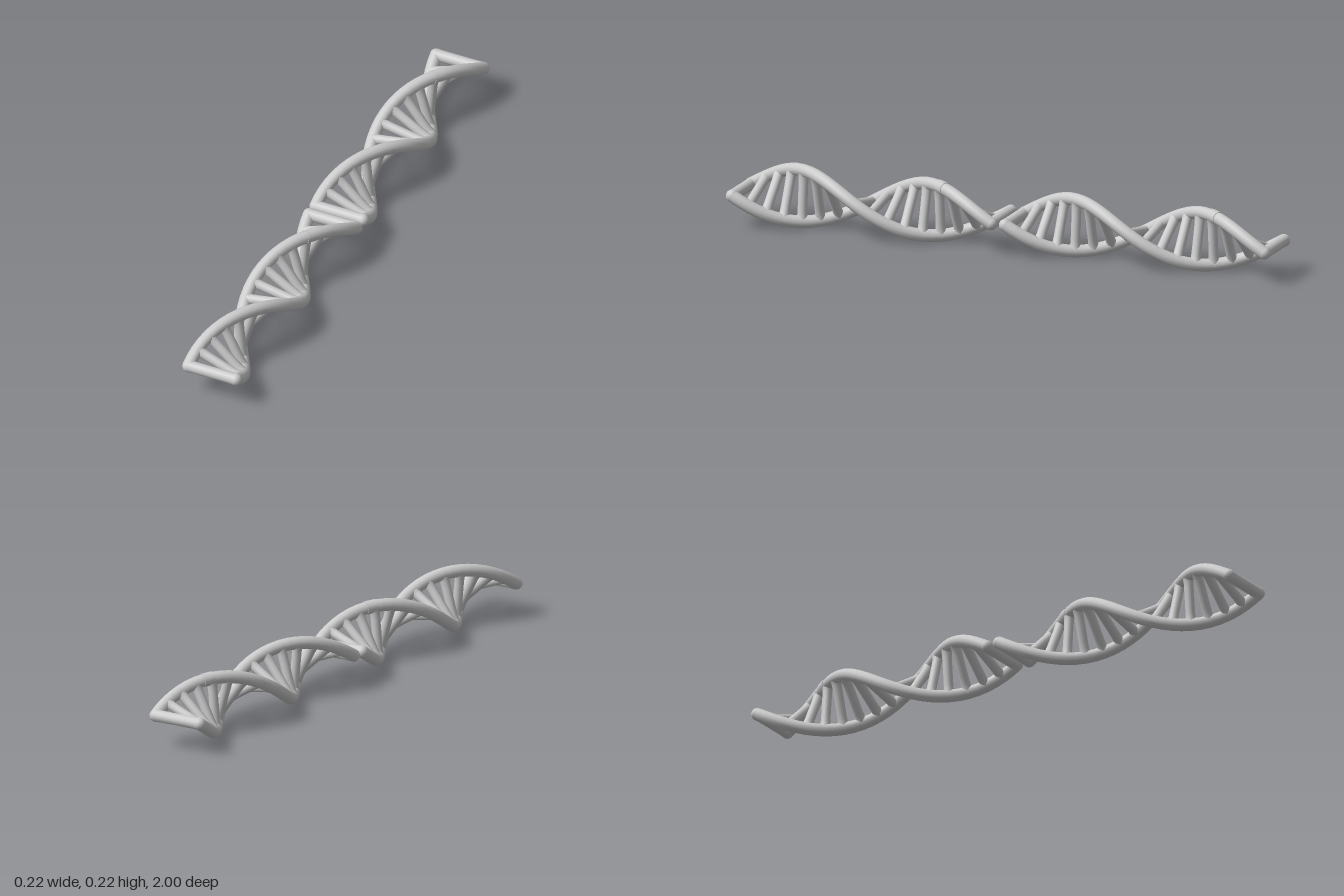
import * as THREE from 'three';

const RADIUS = 0.089;     // axis to strand centre
const STRAND = 0.022;     // strand thickness radius
const LENGTH = 0.952;     // one full turn
const RUNGS = 17;
const CENTRE_Y = 0.1125;

const material = new THREE.MeshStandardMaterial({ color: 0xcccccc });

// Right-handed spiral making one turn along z
class Spiral extends THREE.Curve {
  constructor(phase) {
    super();
    this.phase = phase;
  }
  getPoint(t, target = new THREE.Vector3()) {
    const a = this.phase + t * Math.PI * 2;
    return target.set(RADIUS * Math.cos(a), RADIUS * Math.sin(a), (t - 0.5) * LENGTH);
  }
}

function addMesh(parent, name, geometry) {
  const mesh = new THREE.Mesh(geometry, material);
  mesh.name = name;
  parent.add(mesh);
  return mesh;
}

// Round bar along y that flares softly where it meets the strands
function flaredBar(r, flare) {
  const profile = [];
  for (let i = 0; i <= 12; i++) {
    const s = i / 6 - 1;
    profile.push(new THREE.Vector2(r + flare * s ** 6, s * RADIUS));
  }
  return new THREE.LatheGeometry(profile, 14);
}

function createTurn(name) {
  const turn = new THREE.Group();
  turn.name = name;
  const strands = [new Spiral(0), new Spiral(Math.PI)];

  // Two backbone strands with rounded ends
  strands.forEach((curve, i) => {
    addMesh(turn, `strand${i + 1}`, new THREE.TubeGeometry(curve, RUNGS * 2, STRAND, 12));
    for (const t of [0, 1]) {
      addMesh(turn, `strandEnd${i + 1}`, new THREE.SphereGeometry(STRAND, 14, 10))
        .position.copy(curve.getPoint(t));
    }
  });

  // Slightly raised seam on top of the first strand
  const seam = addMesh(turn, 'strandSeam', new THREE.CylinderGeometry(0.0235, 0.0235, 0.04, 12));
  seam.position.copy(strands[0].getPoint(0.222));
  seam.quaternion.setFromUnitVectors(new THREE.Vector3(0, 1, 0), strands[0].getTangent(0.222));

  // Rungs joining the strands, with thicker bars at both ends
  for (let i = 0; i <= RUNGS; i++) {
    const t = i / RUNGS;
    const isEnd = i === 0 || i === RUNGS;
    const rung = addMesh(turn, isEnd ? 'endRung' : 'rung',
      isEnd ? flaredBar(0.0205, 0.0015) : flaredBar(0.0165, 0.0055));
    rung.position.z = (t - 0.5) * LENGTH;
    rung.rotation.z = t * Math.PI * 2 - Math.PI / 2;
  }
  return turn;
}

export function createModel() {
  const model = new THREE.Group();
  model.name = 'doubleHelix';
  // Two identical turns, end to end
  for (const [name, z] of [['frontTurn', 0.502], ['backTurn', -0.502]]) {
    const turn = createTurn(name);
    turn.position.set(0, CENTRE_Y, z);
    model.add(turn);
  }
  return model;
}
